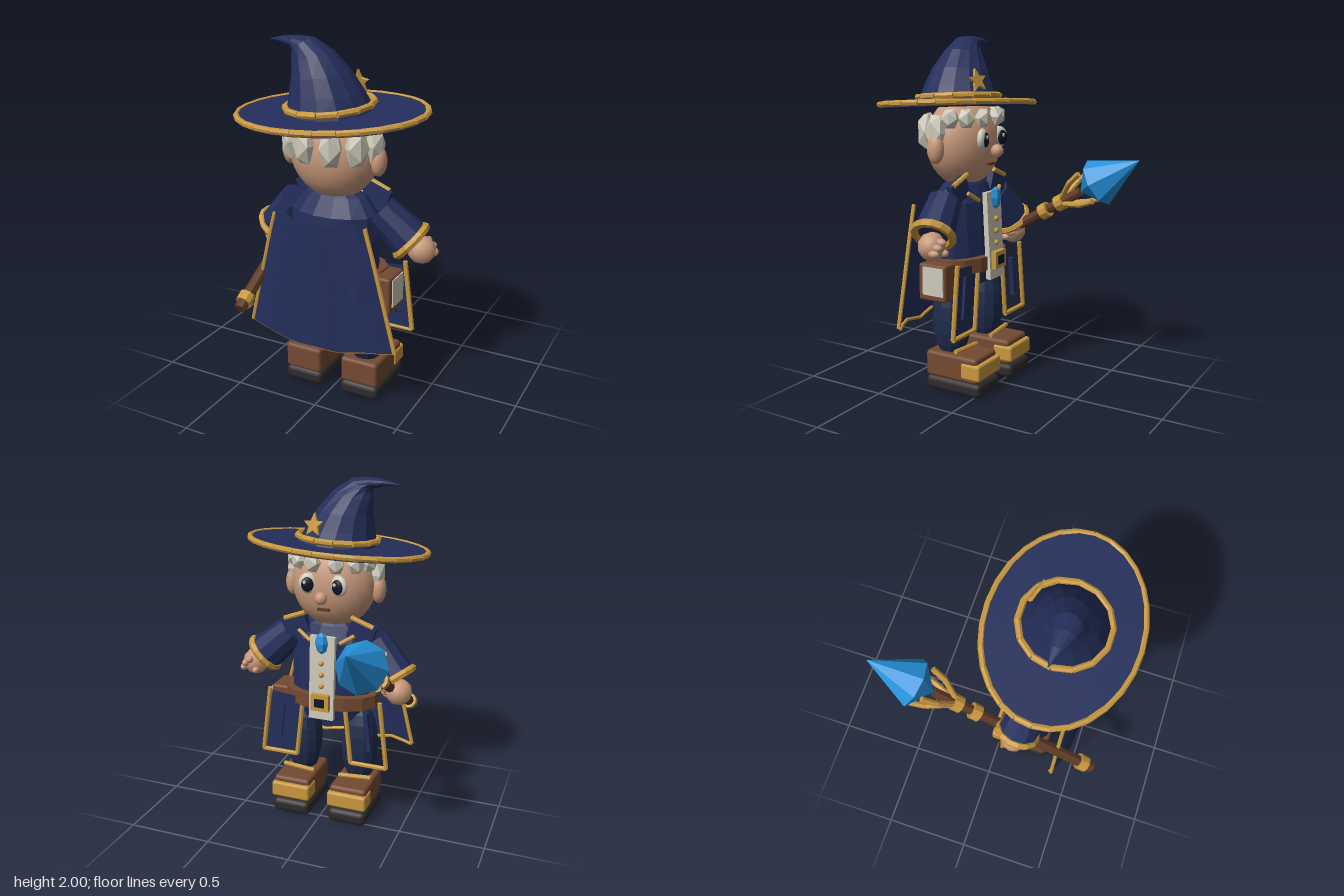
import * as THREE from 'three';
import { RoundedBoxGeometry } from 'three/addons/geometries/RoundedBoxGeometry.js';

const V = (x, y, z) => new THREE.Vector3(x, y, z);
const paint = (name, color, side = THREE.FrontSide) => {
  const m = new THREE.MeshStandardMaterial({ color, side });
  m.name = name;
  return m;
};

// faceted normals
function flat(geo) {
  const g = geo.index ? geo.toNonIndexed() : geo;
  g.computeVertexNormals();
  return g;
}

// skin of rings [x, y, z, radiusX, radiusZ, tilt]
function loft(rings, n) {
  const pos = [], idx = [];
  rings.forEach(([x, y, z, rx, rz, t]) => {
    for (let j = 0; j < n; j++) {
      const a = (j / n) * Math.PI * 2, c = rx * Math.cos(a);
      pos.push(x + c * Math.cos(t), y + c * Math.sin(t), z + rz * Math.sin(a));
    }
  });
  for (let i = 0; i < rings.length - 1; i++) for (let j = 0; j < n; j++) {
    const a = i * n + j, b = i * n + (j + 1) % n;
    idx.push(a, a + n, b, a + n, b + n, b);
  }
  const g = new THREE.BufferGeometry();
  g.setAttribute('position', new THREE.Float32BufferAttribute(pos, 3));
  g.setIndex(idx);
  return flat(g);
}

export function createModel() {
  const model = new THREE.Group();
  const navy = paint('navy cloth', 0x232e5a, THREE.DoubleSide);
  const trouser = paint('trouser blue', 0x1e2c4c);
  const gold = paint('gold', 0xc8983f);
  const skin = paint('skin', 0xc99a7c);
  const ivory = paint('ivory', 0xcfcabb);
  const brown = paint('leather brown', 0x744a31);
  const wood = paint('dark wood', 0x5e3a25);
  const sole = paint('sole black', 0x2f2a2c);
  const gem = paint('crystal blue', 0x2592da);
  const ink = paint('pupil', 0x0e1526);

  const add = (name, geo, mat, p = [0, 0, 0], s = [1, 1, 1], r = [0, 0, 0], parent = model) => {
    const m = new THREE.Mesh(geo, mat);
    m.name = name;
    m.position.set(...p); m.scale.set(...s); m.rotation.set(...r);
    parent.add(m);
    return m;
  };
  // cylinder from a to b
  const rod = (name, mat, a, b, r1, r2 = r1, n = 8, parent = model) => {
    const d = b.clone().sub(a);
    const m = add(name, flat(new THREE.CylinderGeometry(r2, r1, d.length(), n)), mat, a.clone().add(b).multiplyScalar(0.5).toArray(), [1, 1, 1], [0, 0, 0], parent);
    m.quaternion.setFromUnitVectors(V(0, 1, 0), d.normalize());
    return m;
  };
  const chain = (name, mat, pts, r, parent) => {
    for (let i = 0; i < pts.length - 1; i++) rod(name, mat, pts[i], pts[i + 1], r, r, 7, parent);
  };
  const ellipse = (n, rx, rz, y) => Array.from({ length: n + 1 }, (_, i) => {
    const a = (i / n) * Math.PI * 2;
    return V(Math.cos(a) * rx, y, Math.sin(a) * rz);
  });
  const ball = new THREE.SphereGeometry(1, 24, 16);
  const lump = new THREE.IcosahedronGeometry(1, 1);

  // hat: tilted brim with segmented trim, bent cone, band and star
  const hat = new THREE.Group();
  hat.name = 'hat';
  hat.position.set(-0.005, 1.615, 0.27);
  hat.rotation.set(0.06, 0, 0.05);
  model.add(hat);
  add('brim', flat(new THREE.CylinderGeometry(1, 1, 0.03, 28)), navy, [0, 0, 0], [0.52, 1, 0.395], [0, 0, 0], hat);
  chain('brimTrim', gold, ellipse(28, 0.52, 0.395, 0.005), 0.017, hat);
  chain('hatBand', gold, ellipse(14, 0.23, 0.235, 0.045), 0.018, hat);
  add('hatCone', loft([
    [0, 1.62, 0.27, 0.23, 0.235, 0], [-0.02, 1.72, 0.28, 0.195, 0.195, 0.06],
    [-0.045, 1.81, 0.285, 0.158, 0.16, 0.1], [-0.09, 1.9, 0.29, 0.118, 0.11, 0.2],
    [-0.14, 1.955, 0.3, 0.068, 0.075, 0.6], [-0.185, 1.968, 0.3, 0.034, 0.06, 1.2],
    [-0.26, 1.972, 0.29, 0.02, 0.035, 1.5], [-0.35, 1.968, 0.28, 0.002, 0.003, 1.5]], 14), navy);
  const star = new THREE.Shape(Array.from({ length: 10 }, (_, i) => {
    const a = (i / 10) * Math.PI * 2 + Math.PI / 2, r = i % 2 ? 0.03 : 0.068;
    return new THREE.Vector2(Math.cos(a) * r, Math.sin(a) * r);
  }));
  add('hatStar', new THREE.ExtrudeGeometry(star, { depth: 0.016, bevelEnabled: false }), gold, [0.075, 1.755, 0.09], [1, 1, 1], [0.3, -0.25, 0]);

  // head and face
  add('head', ball, skin, [0, 1.41, 0.235], [0.25, 0.26, 0.197]);
  add('nose', lump, skin, [0, 1.365, 0.015], [0.036, 0.038, 0.036]);
  add('mouth', new THREE.BoxGeometry(0.07, 0.014, 0.02), wood, [0, 1.29, 0.056]);
  for (const s of [1, -1]) {
    add('ear', ball, skin, [s * 0.262, 1.385, 0.25], [0.042, 0.082, 0.05]);
    add('eye', ball, ivory, [s * 0.09, 1.435, 0.055], [0.055, 0.06, 0.028], [0, s * 0.3, 0]);
    add('pupil', ball, ink, [s * 0.088, 1.432, 0.034], [0.035, 0.042, 0.016], [0, s * 0.3, 0]);
    add('eyeGlint', ball, ivory, [s * 0.088 + 0.012, 1.447, 0.018], [0.01, 0.011, 0.006]);
    // back locks and short fringe
    for (const a of [0.32, 0.9, 1.45])
      add('hairLock', new THREE.IcosahedronGeometry(1, 0), ivory, [s * 0.245 * Math.sin(a), 1.47, 0.235 + 0.2 * Math.cos(a)], [0.066, 0.115, 0.055], [0, s * a, 0]);
    for (const a of [0.3, 0.8, 1.25])
      add('fringe', new THREE.IcosahedronGeometry(1, 0), ivory, [s * 0.235 * Math.sin(a), 1.55, 0.235 - 0.18 * Math.cos(a)], [0.052, 0.06, 0.045], [0, -s * a, 0]);
  }

  // torso, belt and shirt front
  add('torso', loft([[0, 0.6, 0.21, 0.19, 0.12, 0], [0, 0.75, 0.22, 0.25, 0.15, 0], [0, 0.95, 0.24, 0.26, 0.16, 0],
    [0, 1.08, 0.24, 0.25, 0.15, 0], [0, 1.17, 0.23, 0.18, 0.1, 0], [0, 1.22, 0.23, 0.08, 0.06, 0]], 14), navy);
  add('belt', flat(new THREE.CylinderGeometry(1, 1, 0.08, 14)), brown, [0, 0.73, 0.2], [0.29, 1, 0.175]);
  add('shirtFront', new THREE.BoxGeometry(0.15, 0.5, 0.03), ivory, [0, 0.885, 0.04], [1, 1, 1], [0.05, 0, 0]);
  for (const y of [0.84, 0.91, 0.98]) add('button', ball, gold, [0, y, 0.02], [0.016, 0.016, 0.014]);
  add('buckle', new THREE.BoxGeometry(0.11, 0.1, 0.03), gold, [0, 0.745, 0.005]);
  add('buckleCentre', new THREE.BoxGeometry(0.06, 0.05, 0.008), ink, [0, 0.745, -0.012]);
  add('pendant', flat(new THREE.SphereGeometry(1, 6, 4)), gem, [0, 1.1, 0.025], [0.04, 0.065, 0.03]);

  // collar flaps and lapel trim
  for (const s of [1, -1]) {
    add('collarFlap', new THREE.BoxGeometry(0.15, 0.12, 0.04), navy, [s * 0.2, 1.155, 0.145], [1, 1, 1], [0, 0, -s * 0.35]);
    rod('collarTrim', gold, V(s * 0.14, 1.24, 0.125), V(s * 0.27, 1.19, 0.13), 0.015);
    rod('lapelTrim', gold, V(s * 0.09, 1.09, 0.08), V(s * 0.17, 1.14, 0.1), 0.012);
  }

  // side pouch
  add('pouch', new RoundedBoxGeometry(0.12, 0.21, 0.18, 2, 0.015), brown, [0.3, 0.655, 0.22]);
  add('pouchPanel', new THREE.BoxGeometry(0.008, 0.16, 0.135), ivory, [0.362, 0.665, 0.21]);

  // cape
  const cape = (u, v) => {
    const w = 0.445 - 0.175 * v, k = 2 * u - 1;
    const y = 0.365 + 0.725 * v + 0.03 * k * k * (1 - v) + (v > 0.99 ? 0.025 : 0.01) * Math.cos(k * Math.PI * 3);
    return V(k * w - 0.01, y, 0.495 - 0.09 * k * k + 0.008 * Math.cos(k * 9) * (1 - v));
  };
  const capeGeo = new THREE.PlaneGeometry(1, 1, 12, 5), cp = capeGeo.attributes.position;
  for (let i = 0; i < cp.count; i++) cp.setXYZ(i, ...cape(cp.getX(i) + 0.5, cp.getY(i) + 0.5).toArray());
  add('cape', flat(capeGeo), navy);
  for (const u of [0, 1]) chain('capeSideTrim', gold, [0, 0.25, 0.5, 0.75, 1].map(v => cape(u, v)), 0.012);
  chain('capeHemTrim', gold, Array.from({ length: 13 }, (_, i) => cape(i / 12, 0).add(V(0, 0, -0.012))), 0.01);

  // front robe panels with gold edging
  const panel = new THREE.Shape([[0.13, 0.73], [0.17, 0.36], [0.39, 0.36], [0.33, 0.75]].map(p => new THREE.Vector2(...p)));
  const back = paint('navy cloth', 0x232e5a);
  add('leftRobePanel', new THREE.ShapeGeometry(panel), navy, [0, 0, 0.07]);
  const mirrored = new THREE.Shape(panel.getPoints().map(p => new THREE.Vector2(-p.x, p.y)));
  add('rightRobePanel', new THREE.ShapeGeometry(mirrored), back, [0, 0, 0.07]);
  back.name = navy.name;
  for (const s of [1, -1]) {
    chain('robeTrim', gold, [[0.13, 0.73], [0.17, 0.36], [0.39, 0.36], [0.34, 0.77]].map(([x, y]) => V(s * x, y, 0.062)), 0.014);
    add('robePleat', new THREE.BoxGeometry(0.025, 0.24, 0.03), navy, [s * 0.27, 0.57, 0.07], [1, 1, 1], [0, 0, s * 0.12]);
  }

  // legs and boots
  for (const s of [1, -1]) {
    add('leg', flat(new THREE.SphereGeometry(1, 12, 10)), trouser, [s * 0.18, 0.42, 0.21], [0.112, 0.26, 0.112]);
    add('boot', new RoundedBoxGeometry(0.225, 0.15, 0.34, 2, 0.02), brown, [s * 0.178, 0.155, 0.15]);
    add('sole', new RoundedBoxGeometry(0.235, 0.085, 0.365, 2, 0.03), sole, [s * 0.178, 0.0425, 0.14]);
    add('toeCap', new RoundedBoxGeometry(0.24, 0.095, 0.125, 2, 0.015), gold, [s * 0.178, 0.15, 0.018]);
    rod('bootCuff', gold, V(s * 0.08, 0.24, 0.11), V(s * 0.28, 0.25, 0.12), 0.014);
  }

  // arms: flared sleeve, gold cuff, hand with fingers
  const arm = (side, a, b, hand, fingers) => {
    rod(side + 'Sleeve', navy, a, b, 0.095, 0.115, 10);
    const d = b.clone().sub(a).normalize();
    const cuff = add(side + 'Cuff', flat(new THREE.TorusGeometry(0.108, 0.024, 6, 14)), gold, b.toArray());
    cuff.quaternion.setFromUnitVectors(V(0, 0, 1), d);
    add(side + 'Hand', lump, skin, hand, [0.08, 0.08, 0.075]);
    fingers.forEach(f => add(side + 'Finger', lump, skin, f, [0.022, 0.022, 0.035]));
  };
  arm('left', V(0.25, 1.1, 0.2), V(0.415, 0.945, 0.165), [0.465, 0.895, 0.14], [[0.475, 0.925, 0.075], [0.505, 0.9, 0.08], [0.52, 0.87, 0.09], [0.44, 0.86, 0.085]]);
  arm('right', V(-0.26, 1.09, 0.2), V(-0.405, 0.9, 0.165), [-0.425, 0.82, 0.15], [[-0.36, 0.85, 0.1], [-0.35, 0.82, 0.13], [-0.35, 0.79, 0.17]]);

  // staff built along +y, then leaned forward
  const staff = new THREE.Group();
  staff.name = 'staff';
  staff.position.set(-0.387, 0.56, 0.62);
  staff.quaternion.setFromUnitVectors(V(0, 1, 0), V(0, 0.545, -0.94).normalize());
  model.add(staff);
  rod('staffPole', wood, V(0, 0, 0), V(0, 1.09, 0), 0.034, 0.028, 8, staff);
  for (const y of [0.07, 0.82, 0.94]) rod('staffRing', gold, V(0, y - 0.027, 0), V(0, y + 0.027, 0), 0.048, 0.048, 10, staff);
  for (let i = 0; i < 4; i++) {
    const a = Math.PI / 4 + i * Math.PI / 2, at = (r, y) => V(Math.cos(a) * r, y, Math.sin(a) * r);
    chain('claw', gold, [at(0.03, 0.97), at(0.1, 1.08), at(0.125, 1.17)], 0.017, staff);
  }
  add('crystal', loft([[0, 1.09, 0, 0.001, 0.001, 0], [0, 1.215, 0, 0.142, 0.142, 0], [0, 1.5, 0, 0.001, 0.001, 0]], 8), gem, [0, 0, 0], [1, 1, 1], [0, 0, 0], staff);

  return model;
}
